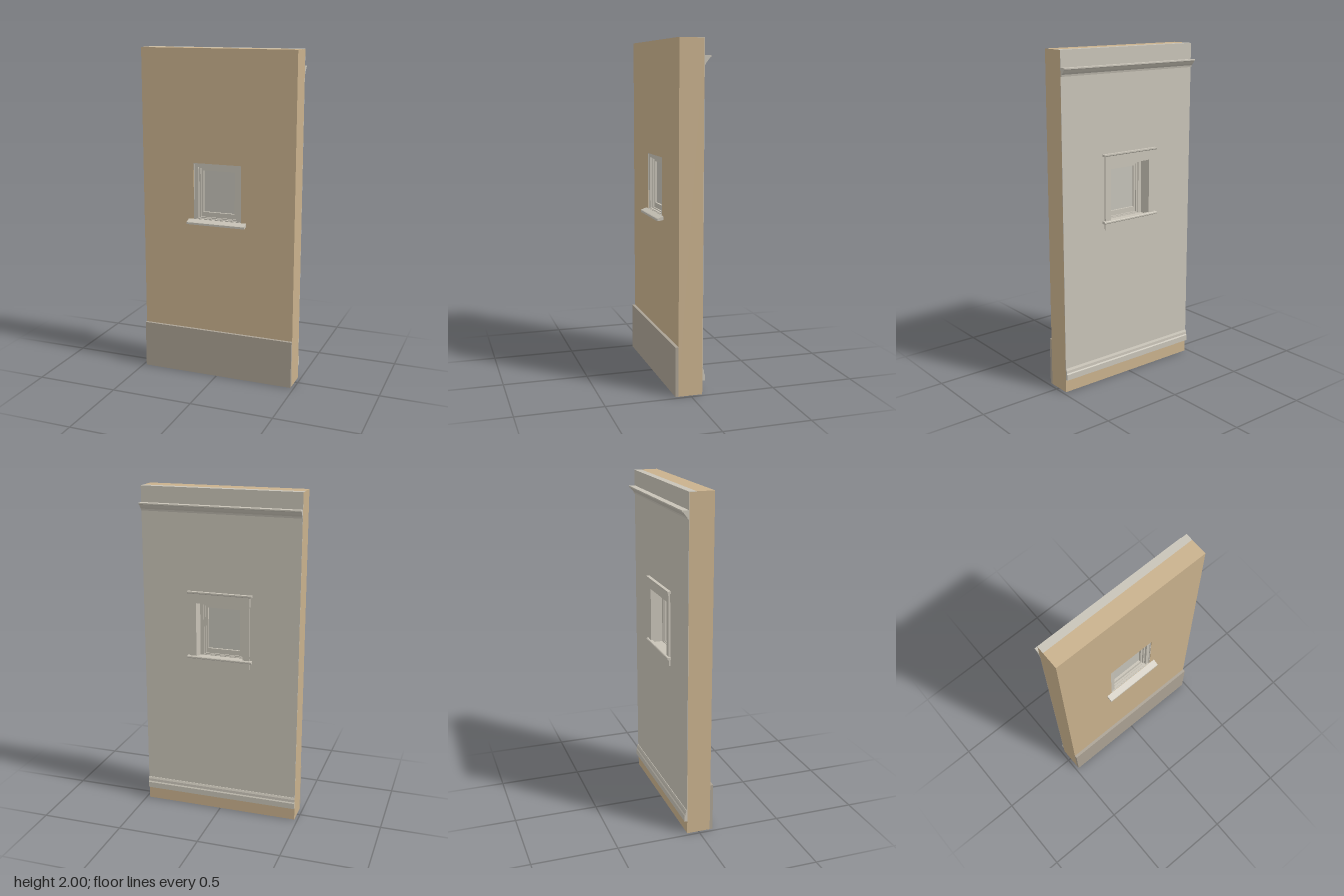
import * as THREE from 'three';

const mat = (name, color) => Object.assign(new THREE.MeshStandardMaterial({ color }), { name });

export function createModel() {
  const tan = mat('tan wall', 0xc9b18d);
  const stone = mat('grey plinth', 0xaba294);
  const trim = mat('light grey trim', 0xc8c3b7);
  const pane = mat('window pane', 0xc4c2b8);
  const group = new THREE.Group();

  const add = (name, geometry, material) => {
    const mesh = new THREE.Mesh(geometry, material);
    mesh.name = name;
    group.add(mesh);
    return mesh;
  };
  // Box given by its limits on each axis
  const box = (name, x0, x1, y0, y1, z0, z1, material) => {
    const g = new THREE.BoxGeometry(x1 - x0, y1 - y0, z1 - z0);
    g.translate((x0 + x1) / 2, (y0 + y1) / 2, (z0 + z1) / 2);
    return add(name, g, material);
  };
  const rect = (C, hx, y0, y1) => {
    const s = new C();
    s.moveTo(-hx, y0);
    s.lineTo(hx, y0);
    s.lineTo(hx, y1);
    s.lineTo(-hx, y1);
    s.closePath();
    return s;
  };
  // Rectangular ring: outer and inner are [half width, bottom, top]
  const ring = (name, outer, inner, z0, z1, material) => {
    const s = rect(THREE.Shape, ...outer);
    s.holes.push(rect(THREE.Path, ...inner));
    const g = new THREE.ExtrudeGeometry(s, { depth: z1 - z0, bevelEnabled: false });
    g.translate(0, 0, z0);
    return add(name, g, material);
  };
  // Moulding: [z, y] profile swept along x
  const moulding = (name, hx, points, material) => {
    const s = new THREE.Shape(points.map(p => new THREE.Vector2(...p)));
    const g = new THREE.ExtrudeGeometry(s, { depth: 2 * hx, bevelEnabled: false });
    g.rotateY(-Math.PI / 2);
    g.translate(hx, 0, 0);
    return add(name, g, material);
  };

  const W = 0.48, BACK = -0.073, FRONT = 0.071;
  const opening = [0.15, 0.985, 1.33];

  // Wall with its inner lining
  ring('wall', [W, 0, 1.998], opening, BACK + 0.002, FRONT, tan);
  ring('innerLining', [W, 0.08, 1.998], opening, BACK, BACK + 0.002, trim);
  box('wallTopOuter', -W, W, 1.998, 2, -0.03, FRONT, tan);
  box('wallTopInner', -W, W, 1.998, 2, BACK, -0.03, trim);
  box('plinth', -W, W, 0, 0.29, FRONT, 0.089, stone);

  // Crown and base mouldings on the inner face
  moulding('crownMoulding', W, [
    [BACK, 1.905], [-0.111, 1.905], [-0.111, 1.898], [-0.103, 1.893],
    [-0.092, 1.878], [-0.082, 1.868], [-0.079, 1.857], [BACK, 1.857],
  ], trim);
  moulding('baseMoulding', W, [
    [BACK, 0.08], [-0.087, 0.08], [-0.087, 0.115], [-0.082, 0.122],
    [-0.081, 0.138], [-0.076, 0.15], [BACK, 0.15],
  ], trim);

  // Window: stepped rings from the wall opening in to the pane
  ring('jambLining', opening, [0.145, 0.99, 1.325], BACK, FRONT - 0.002, trim);
  ring('windowFrame', [0.145, 0.99, 1.325], [0.123, 0.994, 1.306], -0.01, 0.064, trim);
  ring('outerSash', [0.123, 0.994, 1.306], [0.113, 1.0, 1.298], -0.002, 0.05, trim);
  ring('innerSash', [0.113, 1.0, 1.298], [0.1, 1.03, 1.284], 0.006, 0.04, trim);
  box('pane', -0.1, 0.1, 1.03, 1.284, 0.018, 0.026, pane);
  moulding('outerSill', 0.183, [
    [FRONT, 0.968], [0.096, 0.962], [0.108, 0.962], [0.108, 0.974],
    [0.104, 0.977], [FRONT, 0.989],
  ], trim);

  // Casing around the window on the inner face
  for (const s of [-1, 1]) {
    const x = s * 0.165;
    box(s < 0 ? 'casingRight' : 'casingLeft', x - 0.02, x + 0.02, 1.002, 1.33, -0.083, BACK, trim);
  }
  box('casingHead', -0.185, 0.185, 1.33, 1.388, -0.085, BACK, trim);
  moulding('headCap', 0.198, [
    [BACK, 1.386], [-0.088, 1.386], [-0.093, 1.391], [-0.093, 1.399], [BACK, 1.399],
  ], trim);
  moulding('stool', 0.2, [
    [BACK, 0.988], [-0.092, 0.988], [-0.096, 0.992], [-0.096, 0.999],
    [-0.092, 1.003], [BACK, 1.003],
  ], trim);
  box('apron', -0.185, 0.185, 0.948, 0.988, -0.082, BACK, trim);

  return group;
}
